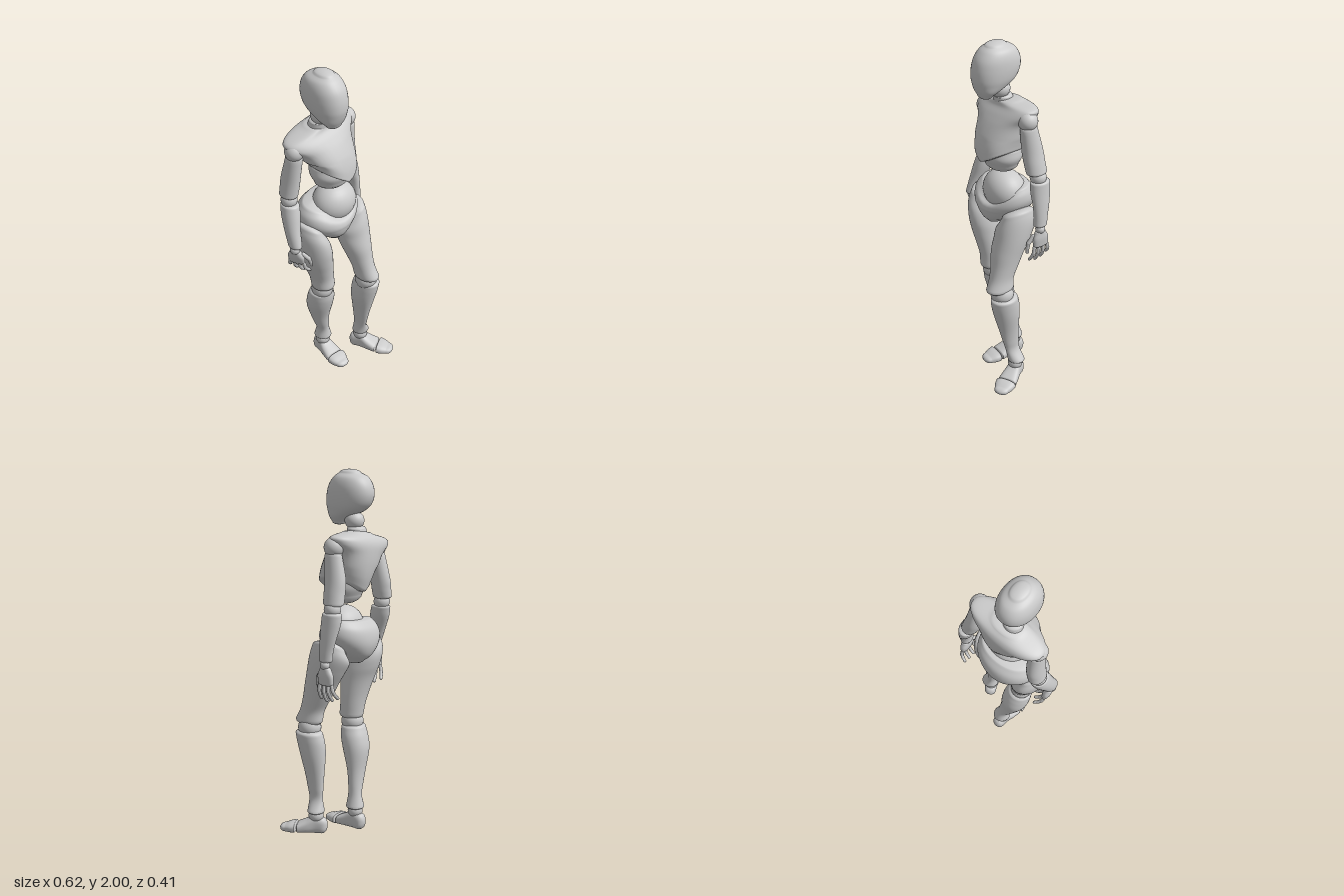
import * as THREE from 'three';
import { mergeVertices } from 'three/addons/utils/BufferGeometryUtils.js';

const material = new THREE.MeshStandardMaterial({ color: 0xcccccc });
const clamp = THREE.MathUtils.clamp;
const SEG = 36, SUB = 6, CAP = 5;

// Smooth closed body through elliptical sections [y, xMin, xMax, zMin, zMax], top to bottom
function loft(name, rows, { top = 0.02, bottom = 0.02, power = 2, warp, alongZ } = {}) {
  const centres = rows.map(r => new THREE.Vector3((r[1] + r[2]) / 2, r[0], (r[3] + r[4]) / 2));
  const radii = rows.map(r => new THREE.Vector3((r[2] - r[1]) / 2, (r[4] - r[3]) / 2, 0));
  const cCurve = new THREE.CatmullRomCurve3(centres, false, 'catmullrom');
  const rCurve = new THREE.CatmullRomCurve3(radii, false, 'catmullrom');
  const rings = [];
  const n = (rows.length - 1) * SUB;
  const addRing = (t, scale, dy) => {
    const c = cCurve.getPoint(t), r = rCurve.getPoint(t);
    rings.push([c.x, c.y + dy, c.z, r.x * scale, r.y * scale]);
  };
  for (let i = CAP; i > 0; i--) {
    const a = (i / CAP) * Math.PI / 2;
    addRing(0, i === CAP ? 0 : Math.cos(a), top * Math.sin(a));
  }
  for (let i = 0; i <= n; i++) addRing(i / n, 1, 0);
  for (let i = 1; i <= CAP; i++) {
    const a = (i / CAP) * Math.PI / 2;
    addRing(1, i === CAP ? 0 : Math.cos(a), -bottom * Math.sin(a));
  }
  const pos = [], index = [];
  const bow = v => Math.sign(v) * Math.pow(Math.abs(v), 2 / power);
  rings.forEach(([cx, cy, cz, rx, rz], i) => {
    for (let j = 0; j < SEG; j++) {
      const a = (j / SEG) * Math.PI * 2;
      const p = new THREE.Vector3(cx + rx * bow(Math.cos(a)), cy, cz + rz * bow(Math.sin(a)));
      if (warp) warp(p);
      pos.push(p.x, p.y, p.z);
      if (i === rings.length - 1) continue;
      const A = i * SEG + j, B = i * SEG + (j + 1) % SEG;
      if (i > 0) index.push(A, B, A + SEG);
      if (i < rings.length - 2) index.push(B, B + SEG, A + SEG);
      else if (i === 0) index.push(B, B + SEG, A + SEG);
    }
  });
  let geo = new THREE.BufferGeometry();
  geo.setAttribute('position', new THREE.Float32BufferAttribute(pos, 3));
  geo.setIndex(index);
  geo = mergeVertices(geo, 1e-5);
  if (alongZ) geo.rotateX(Math.PI / 2);
  geo.computeVertexNormals();
  return named(new THREE.Mesh(geo, material), name);
}

function named(object, name) {
  object.name = name;
  return object;
}

function ball(name, x, y, z, rx, ry = rx, rz = rx) {
  const mesh = named(new THREE.Mesh(new THREE.SphereGeometry(1, 28, 20), material), name);
  mesh.position.set(x, y, z);
  mesh.scale.set(rx, ry, rz);
  return mesh;
}

// Rounded finger segment between two points
function bone(name, a, b, r) {
  const dir = b.clone().sub(a);
  const mesh = named(new THREE.Mesh(new THREE.CapsuleGeometry(r, dir.length(), 5, 12), material), name);
  mesh.position.copy(a).add(b).multiplyScalar(0.5);
  mesh.quaternion.setFromUnitVectors(new THREE.Vector3(0, 1, 0), dir.normalize());
  return mesh;
}

// Left hand hanging from the wrist, thumb forward, palm inward
function makeHand(name) {
  const hand = named(new THREE.Group(), name);
  hand.add(ball('wristJoint', 0, 0, 0, 0.027));
  hand.add(loft('palm', [
    [-0.02, -0.022, 0.02, -0.034, 0.03], [-0.055, -0.024, 0.022, -0.05, 0.045],
    [-0.1, -0.018, 0.018, -0.052, 0.042]], { top: 0.012, bottom: 0.012, power: 2.5 }));
  const addFinger = (label, points, r) => {
    for (let i = 0; i < points.length - 1; i++) hand.add(bone(label, points[i], points[i + 1], r - i * 0.001));
  };
  for (let i = 0; i < 4; i++) {
    const z = 0.036 - i * 0.027, fan = 0.012 - i * 0.01;
    const len = [0.085, 0.095, 0.088, 0.07][i];
    addFinger('finger', [[0, 0], [0, 0.42], [-0.012, 0.75], [-0.028, 1]].map(([x, t]) =>
      new THREE.Vector3(x, -0.108 - t * len, z + fan * t)), 0.0105);
  }
  addFinger('thumb', [[-0.012, -0.04, 0.036], [-0.02, -0.08, 0.062], [-0.024, -0.115, 0.066], [-0.028, -0.14, 0.064]]
    .map(p => new THREE.Vector3(...p)), 0.012);
  return hand;
}

// Foot pointing to +z, origin under the ankle
function makeFoot(name) {
  const foot = named(new THREE.Group(), name);
  foot.add(ball('ankleJoint', 0, 0.108, 0, 0.042));
  foot.add(loft('footBody', [
    [0.1, -0.055, 0.055, -0.06, -0.006], [0.05, -0.048, 0.048, -0.085, -0.006],
    [0.005, -0.038, 0.038, -0.112, -0.005], [-0.035, -0.035, 0.035, -0.098, -0.005]],
  { top: 0.008, bottom: 0.03, power: 2.6, alongZ: true }));
  foot.add(loft('toes', [
    [0.175, -0.042, 0.042, -0.045, -0.005], [0.145, -0.055, 0.055, -0.056, -0.004],
    [0.117, -0.06, 0.06, -0.062, -0.005]], { top: 0.03, bottom: 0.006, power: 2.6, alongZ: true }));
  return foot;
}

export function createModel() {
  const model = named(new THREE.Group(), 'jointedFigure');

  // Head and neck
  model.add(loft('head', [
    [1.983, -0.118, -0.027, -0.09, 0.03], [1.96, -0.147, 0.002, -0.134, 0.06],
    [1.92, -0.164, 0.019, -0.162, 0.09], [1.87, -0.17, 0.025, -0.17, 0.105],
    [1.82, -0.168, 0.023, -0.153, 0.108], [1.785, -0.16, 0.015, -0.115, 0.102],
    [1.75, -0.146, 0.001, -0.045, 0.09], [1.718, -0.12, -0.025, 0.005, 0.074]],
  { top: 0.017, bottom: 0.018, power: 2.2 }));
  model.add(ball('neckJoint', -0.072, 1.73, -0.06, 0.053, 0.05, 0.053));
  model.add(loft('neck', [
    [1.69, -0.122, -0.018, -0.125, -0.025], [1.64, -0.13, -0.005, -0.14, -0.03]], { top: 0.015 }));

  // Chest: shoulder line rises to the left, lower rim dips to a point
  model.add(loft('chest', [
    [1.668, -0.15, 0.045, -0.16, -0.03], [1.645, -0.262, 0.152, -0.185, -0.022],
    [1.61, -0.272, 0.16, -0.2, 0.008], [1.56, -0.22, 0.124, -0.203, 0.045],
    [1.5, -0.19, 0.113, -0.2, 0.08], [1.45, -0.165, 0.105, -0.19, 0.1],
    [1.4, -0.152, 0.1, -0.172, 0.108]], {
    top: 0.012, bottom: 0.012, power: 2.3,
    warp: p => {
      const low = clamp((1.5 - p.y) / 0.1, 0, 1), high = clamp((p.y - 1.45) / 0.12, 0, 1);
      p.y += low * (Math.abs(p.x + 0.02) * 0.65 - 0.035) + high * 0.14 * (p.x + 0.055);
    } }));
  model.add(loft('ribs', [
    [1.43, -0.14, 0.095, -0.15, 0.06], [1.38, -0.145, 0.1, -0.142, 0.07],
    [1.335, -0.125, 0.08, -0.122, 0.056]], { bottom: 0.05 }));

  // Waist and pelvis: the front rim dips below the waist ball
  model.add(ball('waist', 0, 1.165, -0.035, 0.13, 0.115, 0.11));
  model.add(loft('pelvis', [
    [1.2, -0.182, 0.132, -0.165, 0.045], [1.16, -0.21, 0.15, -0.197, 0.078],
    [1.11, -0.214, 0.15, -0.21, 0.09], [1.06, -0.185, 0.122, -0.208, 0.09],
    [1.01, -0.13, 0.068, -0.188, 0.075], [0.975, -0.082, 0.012, -0.145, 0.045]], {
    top: 0.01, bottom: 0.02, power: 2.1,
    warp: p => {
      const high = clamp((p.y - 1.06) / 0.14, 0, 1), front = clamp((p.z + 0.07) / 0.13, 0, 1);
      p.y += 0.09 * (p.x + 0.03) - 0.085 * high * front * clamp(1.2 - Math.abs(p.x + 0.01) / 0.16, 0, 1);
    } }));

  // Legs: the top of each thigh slopes up to the outside
  const slope = (side, cx) => p => {
    p.y += 0.45 * side * (p.x - cx) * clamp((p.y - 0.88) / 0.15, 0, 1);
  };
  model.add(ball('rightHipJoint', -0.14, 1.05, -0.06, 0.075));
  model.add(loft('rightThigh', [
    [1.06, -0.242, -0.12, -0.145, 0.05], [1, -0.254, -0.083, -0.17, 0.075],
    [0.93, -0.245, -0.065, -0.16, 0.08], [0.85, -0.224, -0.055, -0.133, 0.07],
    [0.77, -0.195, -0.045, -0.113, 0.055], [0.7, -0.17, -0.038, -0.1, 0.045],
    [0.64, -0.162, -0.034, -0.092, 0.046]], { top: 0.035, bottom: 0.03, warp: slope(-1, -0.165) }));
  model.add(ball('leftHipJoint', 0.085, 1.06, -0.05, 0.075));
  model.add(loft('leftThigh', [
    [1.06, 0.055, 0.19, -0.135, 0.06], [1, 0.018, 0.202, -0.15, 0.085],
    [0.93, 0.02, 0.203, -0.12, 0.1], [0.85, 0.028, 0.195, -0.075, 0.118],
    [0.77, 0.05, 0.188, -0.035, 0.13], [0.7, 0.067, 0.185, 0, 0.147],
    [0.64, 0.075, 0.194, 0.008, 0.174]], { top: 0.035, bottom: 0.03, warp: slope(1, 0.115) }));
  model.add(ball('rightKneeJoint', -0.095, 0.6, -0.032, 0.062));
  model.add(loft('rightShin', [
    [0.57, -0.163, -0.022, -0.11, 0.025], [0.52, -0.164, -0.006, -0.13, 0.02],
    [0.45, -0.155, 0, -0.145, 0], [0.34, -0.115, 0, -0.141, -0.04],
    [0.26, -0.08, 0.007, -0.143, -0.06], [0.2, -0.055, 0.016, -0.15, -0.07],
    [0.135, -0.062, 0.037, -0.168, -0.065]], { top: 0.022, bottom: 0.014 }));
  model.add(ball('leftKneeJoint', 0.142, 0.6, 0.082, 0.064));
  model.add(loft('leftShin', [
    [0.57, 0.09, 0.22, -0.006, 0.156], [0.52, 0.085, 0.218, -0.018, 0.148],
    [0.45, 0.087, 0.212, -0.022, 0.13], [0.34, 0.11, 0.195, -0.02, 0.1],
    [0.26, 0.127, 0.188, -0.02, 0.08], [0.2, 0.136, 0.19, -0.022, 0.065],
    [0.135, 0.13, 0.23, -0.038, 0.056]], { top: 0.022, bottom: 0.014 }));
  const rightFoot = makeFoot('rightFoot'), leftFoot = makeFoot('leftFoot');
  rightFoot.position.set(-0.015, 0, -0.115);
  rightFoot.rotation.y = -0.06;
  leftFoot.position.set(0.176, 0, 0.012);
  leftFoot.rotation.y = 0.47;
  model.add(rightFoot, leftFoot);

  // Arms
  model.add(ball('leftShoulderJoint', 0.135, 1.615, -0.085, 0.054));
  model.add(loft('leftUpperArm', [
    [1.57, 0.103, 0.183, -0.137, -0.037], [1.45, 0.1, 0.2, -0.165, -0.045],
    [1.38, 0.113, 0.214, -0.171, -0.05], [1.325, 0.13, 0.225, -0.175, -0.055]], { top: 0.035, bottom: 0.014 }));
  model.add(ball('leftElbowJoint', 0.19, 1.297, -0.117, 0.045));
  model.add(loft('leftForearm', [
    [1.272, 0.155, 0.243, -0.18, -0.065], [1.22, 0.165, 0.248, -0.178, -0.062],
    [1.15, 0.188, 0.255, -0.165, -0.065], [1.08, 0.2, 0.26, -0.15, -0.067],
    [1.03, 0.2, 0.262, -0.145, -0.065]], { top: 0.014, bottom: 0.014 }));
  model.add(ball('rightShoulderJoint', -0.235, 1.565, -0.085, 0.052));
  model.add(loft('rightUpperArm', [
    [1.522, -0.278, -0.188, -0.138, -0.042], [1.4, -0.29, -0.197, -0.165, -0.05],
    [1.34, -0.297, -0.202, -0.168, -0.054], [1.295, -0.303, -0.21, -0.168, -0.058]], { top: 0.035, bottom: 0.014 }));
  model.add(ball('rightElbowJoint', -0.26, 1.264, -0.107, 0.045));
  model.add(loft('rightForearm', [
    [1.235, -0.308, -0.215, -0.155, -0.045], [1.18, -0.318, -0.222, -0.142, -0.03],
    [1.1, -0.325, -0.245, -0.108, -0.012], [1.015, -0.326, -0.262, -0.075, 0.012]], { top: 0.014, bottom: 0.014 }));
  const leftHand = makeHand('leftHand'), rightHand = makeHand('rightHand');
  leftHand.position.set(0.235, 1.003, -0.103);
  rightHand.position.set(-0.297, 0.988, -0.03);
  rightHand.rotation.set(0, 0.35, 0.27);
  rightHand.scale.x = -1;
  model.add(leftHand, rightHand);

  return model;
}
